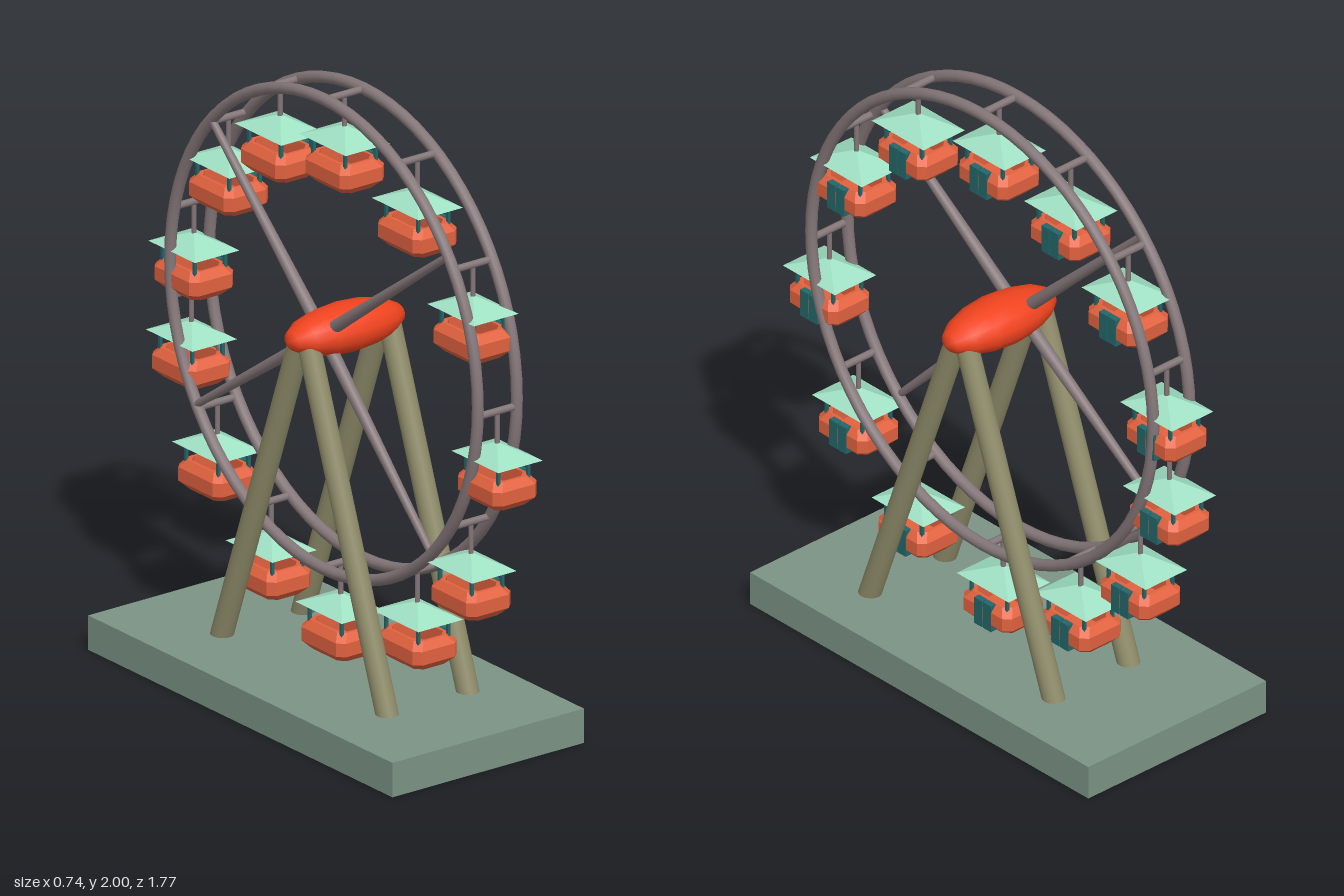
import * as THREE from 'three';

const mat = (color, flatShading = false) => new THREE.MeshStandardMaterial({ color, flatShading });
const MAT = {
  base: mat(0x7b9385, true),
  leg: mat(0x8f8c6a),
  hub: mat(0xf0431e),
  steel: mat(0x857779),
  roof: mat(0x9fe0c3, true),
  teal: mat(0x23666a, true),
  tub: mat(0xe2623f, true),
};
const AXLE_Y = 1.21, RIM_R = 0.771, MID_X = 0.015, RIM_X = [-0.06, 0.09];

function add(parent, name, geometry, material, x = 0, y = 0, z = 0) {
  const mesh = new THREE.Mesh(geometry, material);
  mesh.name = name;
  mesh.position.set(x, y, z);
  parent.add(mesh);
  return mesh;
}

// Round bar from a to b, radius r0 at a and r1 at b
function bar(parent, name, a, b, r0, r1, material, sides = 12) {
  const from = new THREE.Vector3(...a), to = new THREE.Vector3(...b);
  const dir = to.clone().sub(from);
  const mesh = add(parent, name, new THREE.CylinderGeometry(r1, r0, dir.length(), sides), material);
  mesh.position.copy(from).add(to).multiplyScalar(0.5);
  mesh.quaternion.setFromUnitVectors(new THREE.Vector3(0, 1, 0), dir.normalize());
  return mesh;
}

// Open tub: chamfered-rectangle loops going up the outside and down the inside
function tubGeometry() {
  const loops = [[0, 0.025], [0.026, 0], [0.07, 0], [0.095, 0.02], [0.095, 0.03], [0.035, 0.03]]; // height, inset
  const pos = [], index = [], n = 8;
  for (const [y, inset] of loops) {
    const w = 0.085 - inset, d = 0.108 - inset, c = 0.022;
    for (const [x, z] of [[w, d - c], [w, c - d], [w - c, -d], [c - w, -d], [-w, c - d], [-w, d - c], [c - w, d], [w - c, d]])
      pos.push(x, y, z);
  }
  for (let l = 0; l < loops.length - 1; l++)
    for (let i = 0; i < n; i++) {
      const a = l * n + i, b = l * n + (i + 1) % n;
      index.push(a, b, b + n, a, b + n, a + n);
    }
  const top = (loops.length - 1) * n;
  for (let i = 1; i < n - 1; i++) index.push(0, i + 1, i, top, top + i, top + i + 1);
  const g = new THREE.BufferGeometry();
  g.setAttribute('position', new THREE.Float32BufferAttribute(pos, 3));
  g.setIndex(index);
  g.computeVertexNormals();
  return g;
}

// Cabin hanging from its own origin
function makeCabin(tub) {
  const cabin = new THREE.Group();
  cabin.name = 'cabin';
  bar(cabin, 'hanger', [0, 0, 0], [0, -0.11, 0], 0.008, 0.008, MAT.steel, 8);
  const roof = new THREE.ConeGeometry(Math.SQRT2, 0.046, 4).rotateY(Math.PI / 4).scale(0.086, 1, 0.117);
  add(cabin, 'roof', roof, MAT.roof, 0, -0.123, 0);
  add(cabin, 'tub', tub, MAT.tub, 0, -0.29, 0);
  for (const x of [-0.058, 0.058])
    for (const z of [-0.08, 0.08])
      add(cabin, 'roofPost', new THREE.BoxGeometry(0.01, 0.12, 0.01), MAT.teal, x, -0.2, z);
  for (const z of [-0.02, 0.02])
    add(cabin, 'door', new THREE.BoxGeometry(0.026, 0.092, 0.036), MAT.teal, 0.074, -0.242, z);
  return cabin;
}

export function createModel() {
  const model = new THREE.Group();
  model.name = 'ferrisWheel';

  add(model, 'base', new THREE.BoxGeometry(0.735, 0.113, 1.525), MAT.base, 0, 0.0565, -0.018);

  // A-frame legs on both sides
  for (const x of [-0.135, 0.175])
    for (const s of [-1, 1])
      bar(model, 'leg', [x, 0.1, s * 0.418], [x, 1.2, s * 0.022], 0.036, 0.036, MAT.leg, 16);

  // Axle hub, long along x
  const hub = new THREE.SphereGeometry(1, 14, 8).rotateZ(Math.PI / 2).scale(0.22, 0.077, 0.1);
  add(model, 'hub', hub, MAT.hub, 0.02, AXLE_Y + 0.005, 0);

  // Twin rims
  const wheel = new THREE.Group();
  wheel.name = 'wheel';
  model.add(wheel);
  const rim = new THREE.TorusGeometry(RIM_R, 0.019, 10, 72).rotateY(Math.PI / 2);
  for (const x of RIM_X) add(wheel, 'rim', rim, MAT.steel, x, AXLE_Y, 0);

  // Spokes in one rim's plane, tapering outward
  for (const [z, y] of [[0.62, 1.66], [-0.64, 0.775], [-0.555, 1.735], [0.54, 0.665]])
    bar(wheel, 'spoke', [-0.063, AXLE_Y, 0], [-0.063, y, z], 0.022, 0.012, MAT.steel);

  // Rungs and cabins, at angles from the top towards +z
  const tub = tubGeometry();
  for (const deg of [0.4, 28.7, 57.3, 92, 124, 151.3, 181, 208, 235, 261.4, 283.5, 311.6, 335.7]) {
    const a = THREE.MathUtils.degToRad(deg);
    const y = AXLE_Y + RIM_R * Math.cos(a), z = RIM_R * Math.sin(a);
    bar(wheel, 'rung', [RIM_X[0], y, z], [RIM_X[1], y, z], 0.012, 0.012, MAT.steel, 8);
    const cabin = makeCabin(tub);
    cabin.position.set(MID_X, y, z);
    wheel.add(cabin);
  }
  return model;
}
